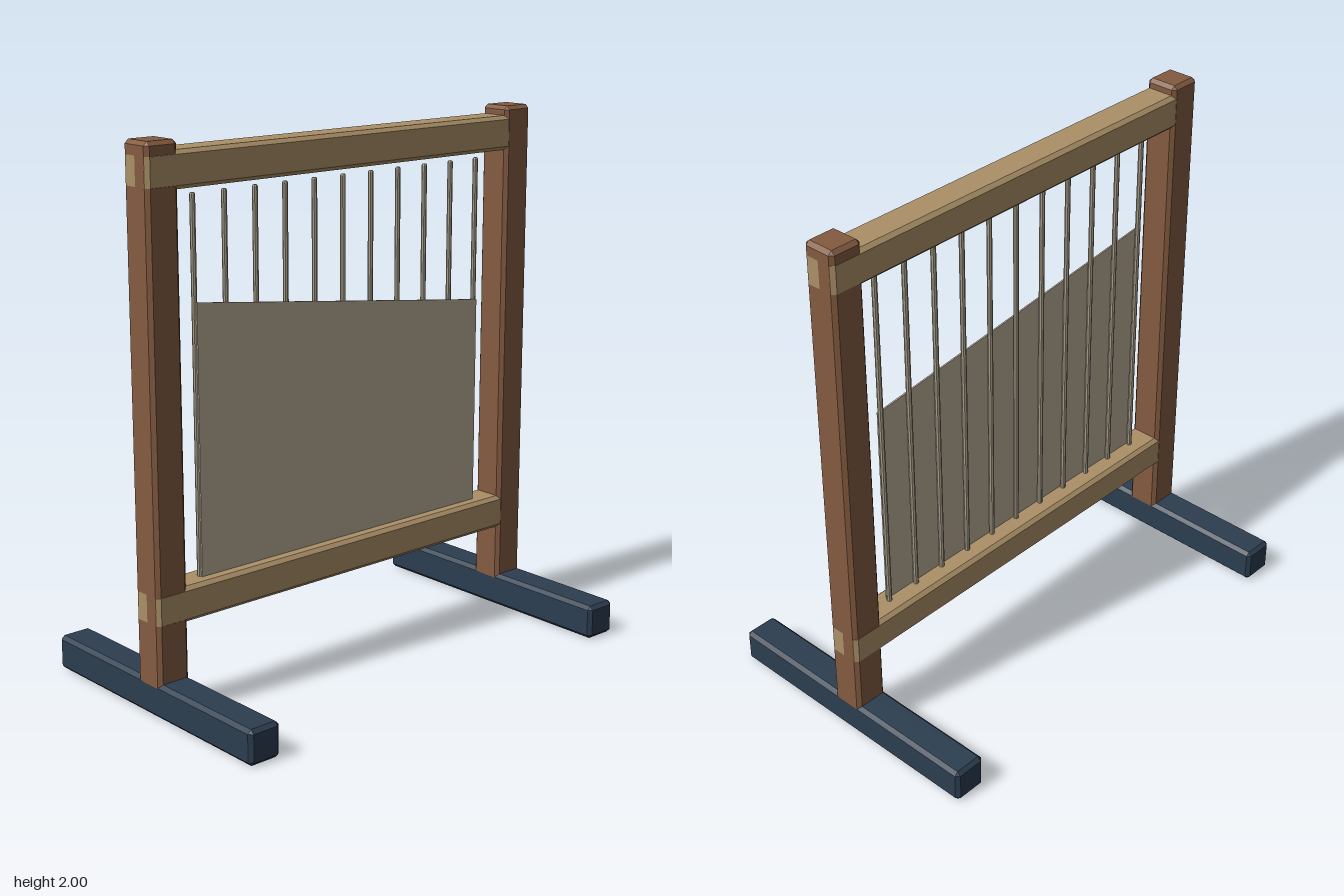
import * as THREE from 'three';
import { ConvexGeometry } from 'three/addons/geometries/ConvexGeometry.js';

const material = (name, color) => {
  const m = new THREE.MeshStandardMaterial({ color });
  m.name = name;
  return m;
};

// Box with a flat chamfer along every edge
function chamferedBox(w, h, d, c = 0.014) {
  const points = [];
  for (const sx of [-1, 1]) for (const sy of [-1, 1]) for (const sz of [-1, 1]) {
    const x = w / 2, y = h / 2, z = d / 2;
    points.push(
      new THREE.Vector3(sx * x, sy * (y - c), sz * (z - c)),
      new THREE.Vector3(sx * (x - c), sy * y, sz * (z - c)),
      new THREE.Vector3(sx * (x - c), sy * (y - c), sz * z));
  }
  return new ConvexGeometry(points);
}

export function createModel() {
  const group = new THREE.Group();
  group.name = 'slattedScreen';

  const postWood = material('brown wood', 0x835b40);
  const railWood = material('tan wood', 0xab9067);
  const footPaint = material('navy paint', 0x2c3e50);
  const cloth = material('woven beige', 0xb8ad98);
  const rodMetal = material('cord beige', 0xa89f8b);

  const add = (name, geometry, mat, x, y, z) => {
    const mesh = new THREE.Mesh(geometry, mat);
    mesh.name = name;
    mesh.position.set(x, y, z);
    group.add(mesh);
    return mesh;
  };

  const T = 0.13; // timber thickness

  // Feet and posts on both sides
  const footGeo = chamferedBox(T, T, 1.12);
  const postGeo = chamferedBox(T, 1.9, T);
  for (const [side, s] of [['left', 1], ['right', -1]]) {
    add(side + 'Foot', footGeo, footPaint, s * 0.835, T / 2, 0);
    add(side + 'Post', postGeo, postWood, s * 0.835, 1.05, 0);
  }

  // Rails across the posts, turned a hair so their faces do not coincide
  const railGeo = chamferedBox(1.8, T, T);
  for (const [name, y] of [['bottomRail', 0.395], ['topRail', 1.9]]) {
    add(name, railGeo, railWood, 0, y, 0).rotation.y = 0.001;
  }

  // Row of upright warp rods
  const rodGeo = new THREE.LatheGeometry([
    [0, -0.685], [0.007, -0.685], [0.01, -0.68], [0.01, 0.68], [0.007, 0.685], [0, 0.685],
  ].map(([x, y]) => new THREE.Vector2(x, y)), 8).toNonIndexed();
  rodGeo.computeVertexNormals();
  for (let i = 0; i < 11; i++) {
    add('rod' + (i + 1), rodGeo, rodMetal, -0.67 + i * 0.134, 1.125, 0);
  }

  // Woven panel with a sloping top edge, in front of the rods
  const panel = new THREE.Shape([
    [-0.672, 0.45], [0.672, 0.45], [0.672, 1.265], [-0.672, 1.438],
  ].map(([x, y]) => new THREE.Vector2(x, y)));
  add('wovenPanel', new THREE.ExtrudeGeometry(panel, { depth: 0.006, bevelEnabled: false }),
    cloth, 0, 0, 0.011);

  return group;
}
